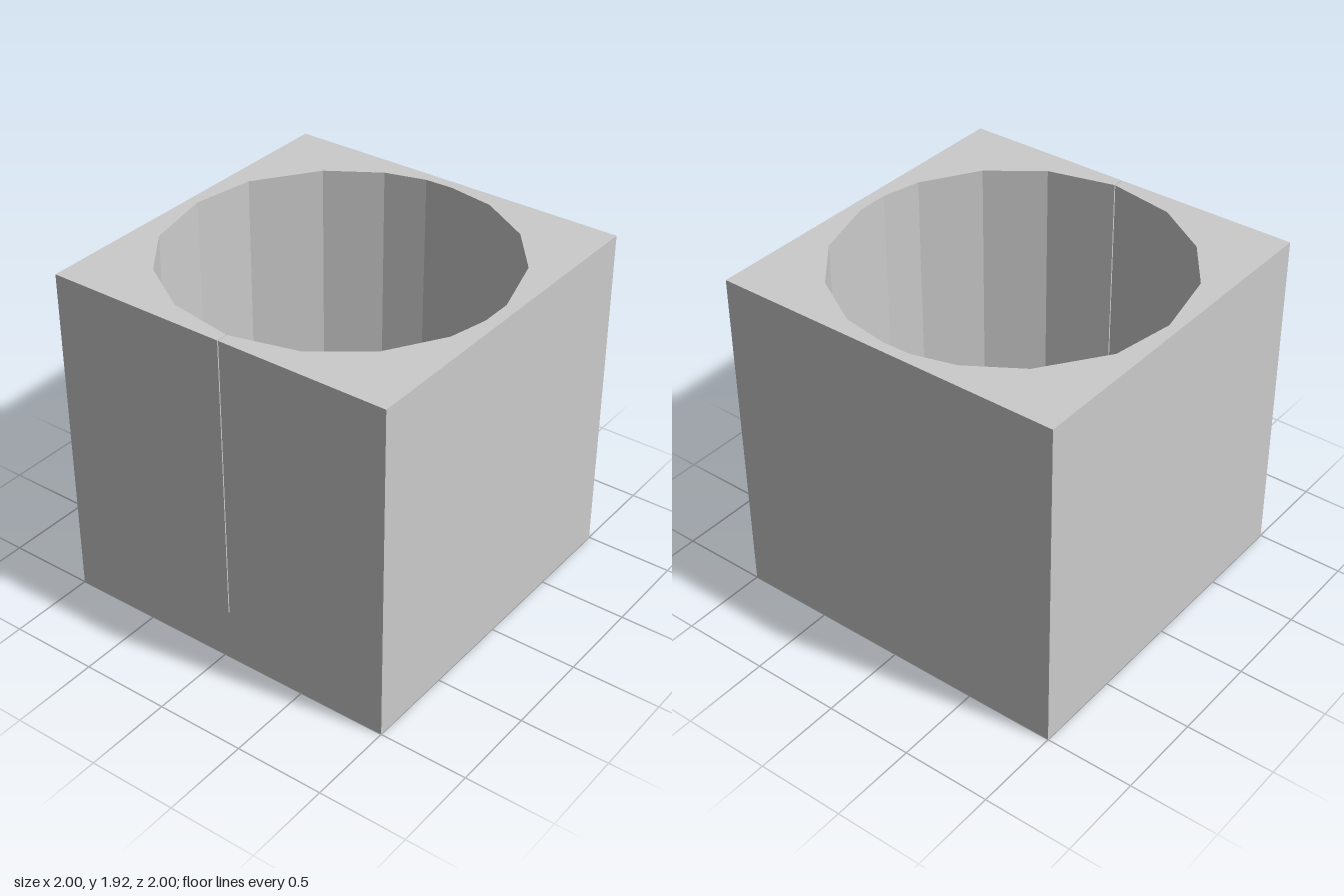
import * as THREE from 'three';

const HEIGHT = 1.925, FLOOR = 0.3, SLIT_X = 0.037, SLIT_HALF = 0.003;

// Cavity outline (x, z): from the slit's left side round the faceted well to its other side
const cavity = [
  [SLIT_X + SLIT_HALF, 1], [SLIT_X + SLIT_HALF, 0.935],
  [0.41, 0.84], [0.69, 0.63], [0.88, 0.32], [0.93, 0.1], [0.93, -0.08], [0.82, -0.45],
  [0.6, -0.72], [0.3, -0.895], [0.03, -0.94], [-0.13, -0.935], [-0.36, -0.87], [-0.64, -0.69],
  [-0.88, -0.35], [-0.94, 0], [-0.855, 0.4], [-0.65, 0.675], [-0.34, 0.87],
  [SLIT_X - SLIT_HALF, 0.935], [SLIT_X - SLIT_HALF, 1],
];

// Upright flat walls along a path of (x, z) points, facing left of the direction of travel
function wallGeometry(path, y0, y1) {
  const pos = [];
  for (let i = 0; i < path.length - 1; i++) {
    const [ax, az] = path[i], [bx, bz] = path[i + 1];
    pos.push(ax, y0, az, ax, y1, az, bx, y1, bz);
    pos.push(ax, y0, az, bx, y1, bz, bx, y0, bz);
  }
  const geo = new THREE.BufferGeometry();
  geo.setAttribute('position', new THREE.Float32BufferAttribute(pos, 3));
  geo.computeVertexNormals();
  return geo;
}

const shapeFrom = (points) => new THREE.Shape(points.map(([x, y]) => new THREE.Vector2(x, y)));

// Horizontal face with an (x, z) outline, facing up
function levelGeometry(points, y) {
  return new THREE.ShapeGeometry(shapeFrom(points.map(([x, z]) => [x, -z])))
    .rotateX(-Math.PI / 2).translate(0, y, 0);
}

export function createModel() {
  const group = new THREE.Group();
  group.name = 'hollowBlock';
  const material = new THREE.MeshStandardMaterial({ color: 0xcccccc, flatShading: true, side: THREE.DoubleSide });
  const add = (name, geometry) => {
    const mesh = new THREE.Mesh(geometry, material);
    mesh.name = name;
    group.add(mesh);
  };

  // Outside of the block
  const corners = [[-1, 1], [-1, -1], [1, -1], [1, 1]];
  add('outerWalls', wallGeometry(corners, 0, HEIGHT));
  add('underside', new THREE.PlaneGeometry(2, 2).rotateX(Math.PI / 2));

  // Front face, notched by the narrow slit
  const l = SLIT_X - SLIT_HALF, r = SLIT_X + SLIT_HALF;
  add('frontWall', new THREE.ShapeGeometry(shapeFrom([
    [-1, 0], [1, 0], [1, HEIGHT], [r, HEIGHT], [r, FLOOR], [l, FLOOR], [l, HEIGHT], [-1, HEIGHT],
  ])).translate(0, 0, 1));

  // Top rim around the opening
  add('rim', levelGeometry([...corners, ...cavity], HEIGHT));

  // Inside of the well and slit
  add('cavityWalls', wallGeometry(cavity, FLOOR, HEIGHT));
  add('cavityFloor', levelGeometry(cavity, FLOOR));
  return group;
}
